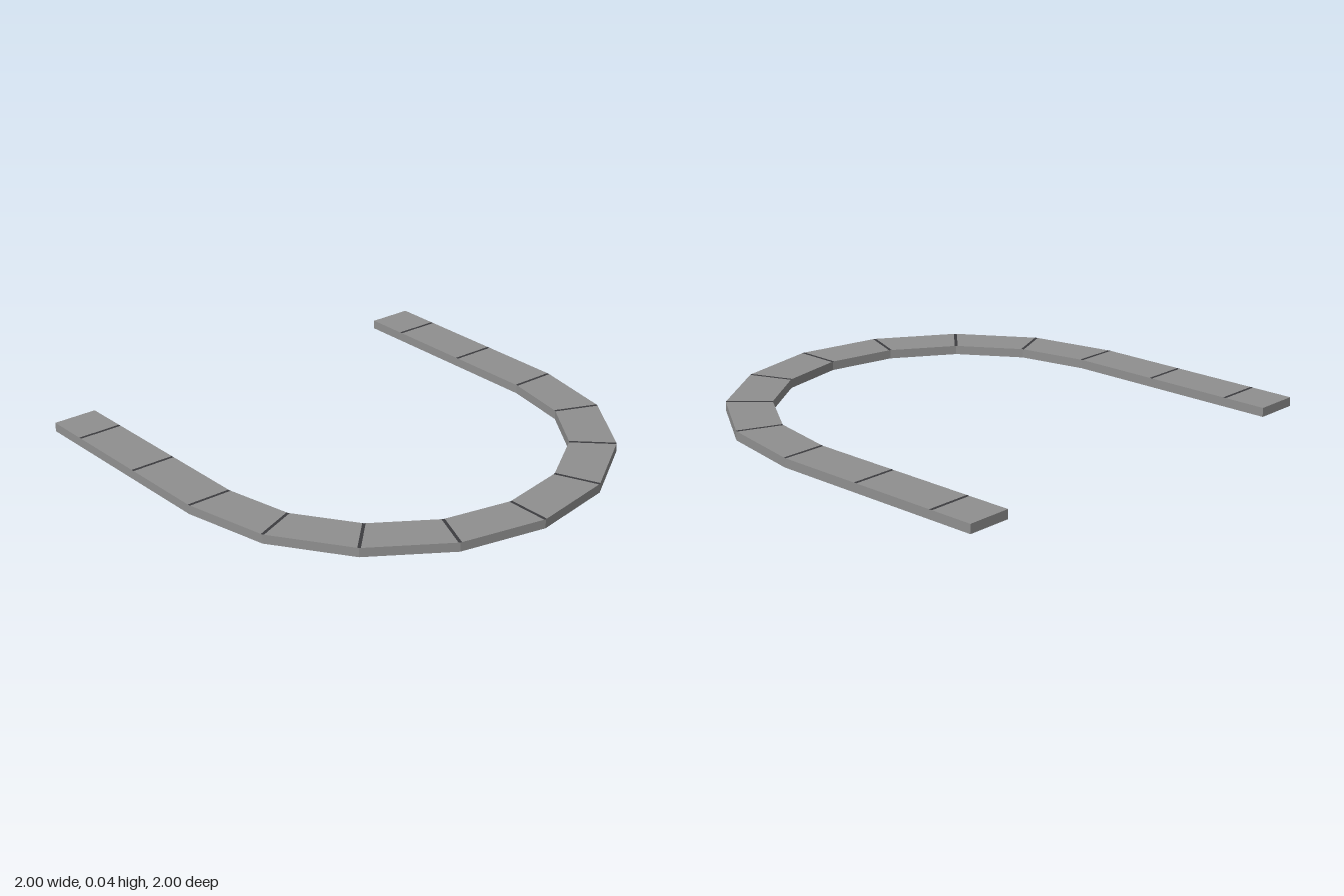
import * as THREE from 'three';

const HEIGHT = 0.04, OUTER = 1, INNER = 0.8, JOINT = 0.007;

// Collects four-cornered faces (counter-clockwise from outside) into a flat-shaded mesh
function quadMesh(name, quads, material) {
  const pos = [];
  for (const [a, b, c, d] of quads) {
    for (const p of [a, b, c, a, c, d]) pos.push(p.x, p.y, p.z);
  }
  const geometry = new THREE.BufferGeometry();
  geometry.setAttribute('position', new THREE.Float32BufferAttribute(pos, 3));
  geometry.computeVertexNormals();
  const mesh = new THREE.Mesh(geometry, material);
  mesh.name = name;
  return mesh;
}

// Cross-sections along the U: left arm, eight-sided half ring, right arm
function buildSections() {
  const section = (c, s, z) => ({
    outer: new THREE.Vector3(OUTER * c, HEIGHT, OUTER * s + z),
    inner: new THREE.Vector3(INNER * c, HEIGHT, INNER * s + z),
  });
  const arm = [-1, -0.8, -0.4];
  const list = arm.map((z) => section(1, 0, z));
  for (let i = 0; i <= 8; i++) {
    const a = (i * Math.PI) / 8;
    list.push(section(Math.cos(a), Math.sin(a), 0));
  }
  for (const z of [...arm].reverse()) list.push(section(-1, 0, z));
  return list;
}

// Section moved a short distance from one joint towards the next
function shifted(from, to, distance) {
  const move = (a, b) => a.clone().lerp(b, distance / a.distanceTo(b));
  return { outer: move(from.outer, to.outer), inner: move(from.inner, to.inner) };
}

export function createModel() {
  const group = new THREE.Group();
  group.name = 'curvedKerb';
  const stone = new THREE.MeshStandardMaterial({ color: 0x909090, flatShading: true, side: THREE.DoubleSide });
  const dark = new THREE.MeshStandardMaterial({ color: 0x3c3c40, flatShading: true, side: THREE.DoubleSide });

  const sections = buildSections();
  const last = sections.length - 1;
  const ground = (p) => new THREE.Vector3(p.x, 0, p.z);
  const topQuad = (s, t) => [s.outer, s.inner, t.inner, t.outer];
  const tops = [], joints = [], outerWall = [], innerWall = [];

  for (let i = 0; i < last; i++) {
    const s = sections[i], t = sections[i + 1];
    // top slab between two joint strips
    const start = i > 0 ? shifted(s, t, JOINT) : s;
    const end = i < last - 1 ? shifted(t, s, JOINT) : t;
    tops.push(topQuad(start, end));
    if (i > 0) joints.push(topQuad(s, start));
    if (i < last - 1) joints.push(topQuad(end, t));
    // side walls
    outerWall.push([ground(s.outer), s.outer, t.outer, ground(t.outer)]);
    innerWall.push([ground(t.inner), t.inner, s.inner, ground(s.inner)]);
  }

  // walls closing the two arms at the back
  const cap = (s) => [ground(s.outer), ground(s.inner), s.inner, s.outer];
  const endWalls = [cap(sections[0]), cap(sections[last]).reverse()];

  group.add(
    quadMesh('topSlabs', tops, stone),
    quadMesh('jointStrips', joints, dark),
    quadMesh('outerWall', outerWall, stone),
    quadMesh('innerWall', innerWall, stone),
    quadMesh('endWalls', endWalls, stone),
  );
  return group;
}
